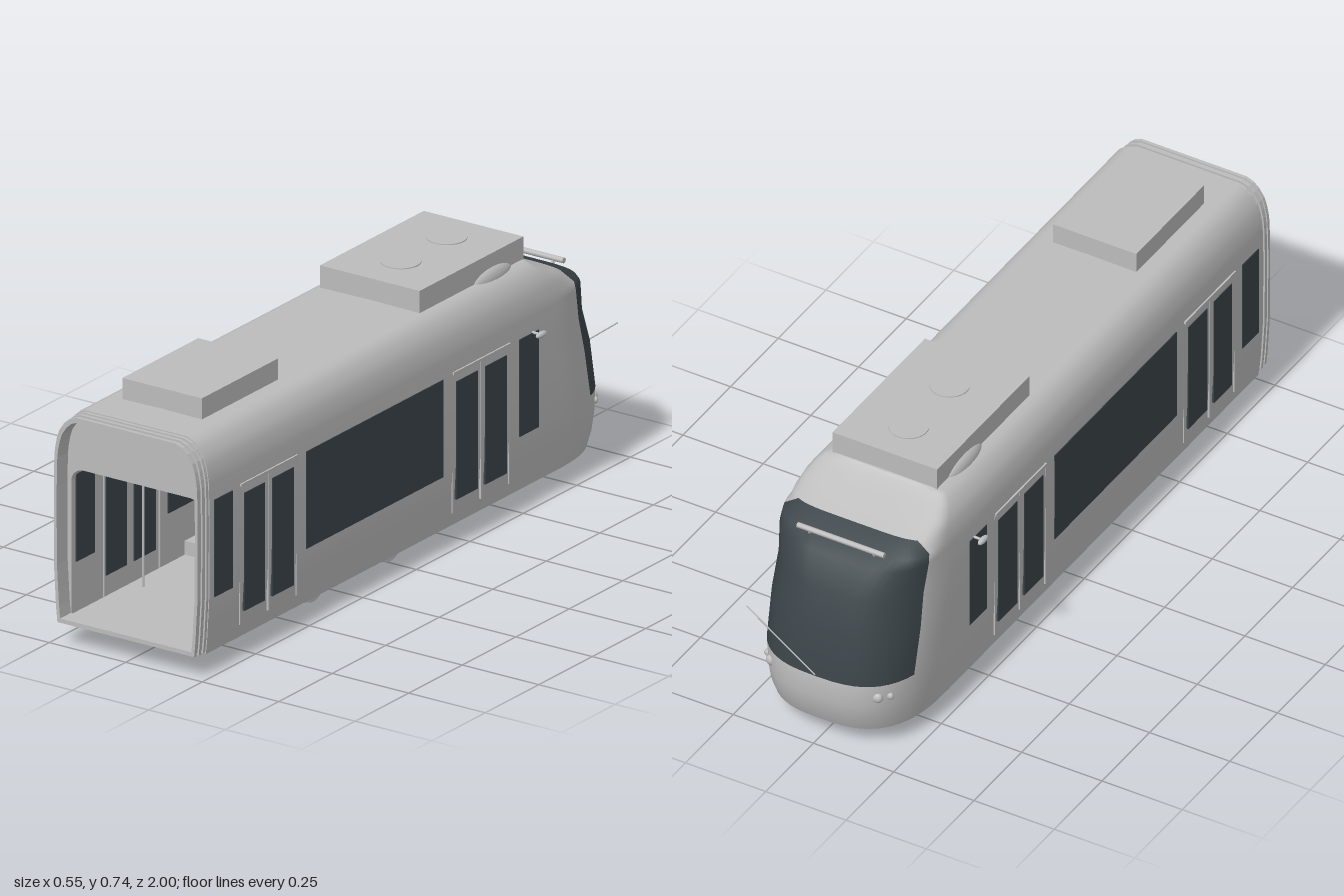
import * as THREE from 'three';

const paint = new THREE.MeshStandardMaterial({ color: 0xbcbcbc });
paint.name = 'body grey';
const glass = new THREE.MeshStandardMaterial({ color: 0x3b4449 });
glass.name = 'dark glass';
const screenMat = new THREE.MeshStandardMaterial({ color: 0x3a3f4d });
screenMat.name = 'screen slate';

// Hull levels: height, half width, nose tip z
const LEVELS = [
  [.06, .228, -.963], [.1, .232, -.98], [.15, .235, -.99], [.22, .239, -.99], [.36, .24, -.963],
  [.46, .24, -.927], [.55, .238, -.885], [.575, .235, -.85], [.6, .23, -.78], [.625, .222, -.725],
  [.65, .205, -.67], [.665, .188, -.64], [.674, .165, -.63], [.676, 0, -.63],
];
const GLASS_LOW = 3, GLASS_HIGH = 8, SIDE = 7, MID = 20, FRONT = .95;

// Plan outline of the hull at one level, from the left side round the nose to the right
function planOutline([y, w, zf]) {
  const n = 2.8 + 2.2 * THREE.MathUtils.smoothstep(y, .5, .6);
  const zc = Math.min(-.6, zf + .29);
  const zGlass = -.85 + Math.max(0, y - .22) * .22;
  const s = THREE.MathUtils.clamp((zc - zGlass) / (zc - zf), 0, .92);
  const edge = Math.asin(Math.pow(s, n / 2));
  const angles = [];
  for (let i = 0; i <= SIDE; i++) angles.push(edge * i / SIDE);
  for (let i = 1; i < MID; i++) angles.push(edge + (Math.PI - 2 * edge) * i / MID);
  for (let i = SIDE; i >= 0; i--) angles.push(Math.PI - edge * i / SIDE);
  const pts = angles.map(a => {
    const c = Math.cos(a);
    return new THREE.Vector3(Math.sign(c) * w * Math.pow(Math.abs(c), 2 / n), y,
      zc - (zc - zf) * Math.pow(Math.max(0, Math.sin(a)), 2 / n));
  });
  return [new THREE.Vector3(w, y, FRONT), ...pts, new THREE.Vector3(-w, y, FRONT)];
}

function hullGeometry() {
  const rows = LEVELS.map(planOutline);
  const cols = rows[0].length;
  const body = [], pane = [];
  for (let i = 0; i < rows.length - 1; i++) {
    for (let j = 0; j < cols - 1; j++) {
      const isGlass = i >= GLASS_LOW && i < GLASS_HIGH && j >= SIDE + 1 && j < SIDE + 1 + MID;
      const a = i * cols + j, b = a + 1, c = a + cols, d = c + 1;
      (isGlass ? pane : body).push(a, b, d, a, d, c);
    }
  }
  const g = new THREE.BufferGeometry().setFromPoints(rows.flat());
  g.setIndex([...body, ...pane]);
  g.addGroup(0, body.length, 0);
  g.addGroup(body.length, pane.length, 1);
  g.computeVertexNormals();
  return g;
}

// Closed cross-section of the hull, scaled about its middle
function section(k) {
  const half = LEVELS.slice(0, -1).map(([y, w]) => [w * k, .368 + (y - .368) * k]);
  const all = [...half, ...half.map(([x, y]) => [-x, y]).reverse()];
  return all.map(([x, y]) => new THREE.Vector2(x, y));
}

function ring(outer, hole, depth) {
  const s = new THREE.Shape(outer);
  s.holes.push(hole);
  return new THREE.ExtrudeGeometry(s, { depth, bevelEnabled: false });
}

export function createModel() {
  const model = new THREE.Group();
  const add = (name, geo, x = 0, y = 0, z = 0, mat = paint) => {
    const m = new THREE.Mesh(geo, mat);
    m.name = name;
    m.position.set(x, y, z);
    model.add(m);
    return m;
  };
  // Box given by its limits
  const box = (name, x0, x1, y0, y1, z0, z1, mat = paint) =>
    add(name, new THREE.BoxGeometry(x1 - x0, y1 - y0, Math.abs(z1 - z0)),
      (x0 + x1) / 2, (y0 + y1) / 2, (z0 + z1) / 2, mat);
  const rod = (name, a, b, r, mat = paint) => {
    const p = new THREE.Vector3(...a), q = new THREE.Vector3(...b);
    const m = add(name, new THREE.CylinderGeometry(r, r, p.distanceTo(q), 10), 0, 0, 0, mat);
    m.position.copy(p).lerp(q, .5);
    m.quaternion.setFromUnitVectors(new THREE.Vector3(0, 1, 0), q.sub(p).normalize());
    return m;
  };

  // Shell with wrapped windscreen, and underside
  add('hull', hullGeometry(), 0, 0, 0, [paint, glass]);
  const under = new THREE.ShapeGeometry(new THREE.Shape(
    planOutline(LEVELS[0]).map(p => new THREE.Vector2(p.x, p.z))));
  add('underside', under.rotateX(Math.PI / 2), 0, .06, 0);

  // Cabin lining: walls, floor, ceiling and end bulkhead
  const cabin = new THREE.Path();
  cabin.moveTo(-.213, .075);
  cabin.lineTo(.213, .075);
  cabin.lineTo(.213, .457);
  cabin.absarc(.173, .457, .04, 0, Math.PI / 2, false);
  cabin.absarc(-.173, .457, .04, Math.PI / 2, Math.PI, false);
  cabin.closePath();
  add('cabinLining', ring(section(.996), cabin, 1.55), 0, 0, -.6);
  box('cabPartition', -.22, .22, .07, .5, -.61, -.598);

  // Gangway bellows at the open end
  [.985, .965, .985, .965, .98].forEach((k, i) =>
    add('bellowsFold', ring(section(k), new THREE.Path(section(.94)), .01), 0, 0, .95 + i * .01));

  // Side windows, doors and mirrors, on both sides
  const panes = [[.845, .93, .22, .5], [.695, .79, .135, .475], [.56, .66, .135, .475],
    [-.14, .5, .22, .5], [-.3, -.2, .135, .475], [-.435, -.335, .135, .475], [-.585, -.495, .22, .5]];
  for (const s of [1, -1]) {
    for (const [z0, z1, y0, y1] of panes) {
      for (const x of [.2385, .2125]) {
        add('sideWindow', new THREE.BoxGeometry(.006, y1 - y0, z1 - z0),
          s * x, (y0 + y1) / 2, (z0 + z1) / 2, glass);
      }
    }
    for (const z of [.675, -.318]) {
      add('doorRail', new THREE.BoxGeometry(.008, .008, .265), s * .24, .502, z);
      add('doorSeam', new THREE.BoxGeometry(.006, .4, .006), s * .238, .3, z);
      for (const e of [-.132, .132])
        add('doorEdge', new THREE.BoxGeometry(.004, .4, .004), s * .238, .3, z + e);
      for (const e of [-.13, .13])
        rod('doorHandrail', [s * .208, .08, z + e], [s * .208, .49, z + e], .003);
      rod('grabPole', [s * .17, .075, z], [s * .17, .485, z], .004);
    }
    rod('mirrorArm', [s * .235, .5, -.56], [s * .268, .5, -.56], .004);
    add('mirror', new THREE.SphereGeometry(.009, 16, 10), s * .267, .5, -.56).scale.z = 2.6;

    // Nose lamps
    for (const [x, z, r] of [[.165, -.942, .016], [.19, -.918, .011]])
      add('headlamp', new THREE.SphereGeometry(r, 16, 10), s * x, .18, z).scale.z = .8;

    // Seats on plinths
    box('seatPlinth', Math.min(s * .04, s * .213), Math.max(s * .04, s * .213), .075, .115, -.06, .42);
    for (const z of [.34, .02]) {
      for (const x of [.088, .172]) {
        add('seatBack', new THREE.BoxGeometry(.082, .145, .015), s * x, .263, z);
        add('seatCushion', new THREE.BoxGeometry(.082, .02, .09), s * x, .2, z - .05);
      }
      add('seatBase', new THREE.BoxGeometry(.04, .08, .05), s * .17, .15, z - .05);
    }

    // Wheels with flanges, brake discs
    for (const z of [.36, 0]) {
      const wheel = (r, w, x) => add('wheel',
        new THREE.CylinderGeometry(r, r, w, 32).rotateZ(Math.PI / 2), s * x, .061, z);
      wheel(.055, .026, .153);
      wheel(.06, .007, .143);
      wheel(.025, .05, .16);
      const dz = z ? .27 : .09;
      add('brakeDisc', new THREE.CylinderGeometry(.033, .033, .01, 24).rotateZ(Math.PI / 2), s * .096, .06, dz);
    }

    // Fairing beside the roof unit
    add('roofFairing', new THREE.SphereGeometry(1, 24, 14), s * .155, .665, -.48).scale.set(.026, .035, .095);
  }

  // Drive motors between the axles
  for (const z of [.25, .11])
    rod('motor', [-.06, .06, z], [.06, .06, z], .024);
  for (const z of [.36, 0])
    rod('axle', [-.14, .061, z], [.14, .061, z], .01);

  // Cabin fittings
  rod('centrePole', [0, .075, .5], [0, .497, .5], .004);
  box('signFrame', -.063, .063, .436, .482, -.6, -.59);
  box('signPanel', -.057, .057, .441, .477, -.592, -.586, glass);
  box('cabScreen', -.162, -.06, .335, .405, -.55, -.542, screenMat);
  rod('screenStem', [-.13, .31, -.55], [-.13, .34, -.55], .003);
  box('cabDesk', -.21, -.04, .19, .31, -.6, -.56);

  // Roof equipment
  box('frontRoofUnit', -.13, .13, .67, .735, .475, .83);
  box('rearRoofUnit', -.163, .163, .67, .738, -.625, -.14);
  for (const z of [-.285, -.5])
    add('fanCover', new THREE.CylinderGeometry(.055, .055, .003, 32), 0, .7395, z);

  // Lamp bar above the windscreen, and the wiper
  rod('lampBar', [-.135, .588, -.855], [.135, .588, -.855], .008);
  for (const x of [-.1, .1]) rod('lampBarFoot', [x, .56, -.845], [x, .588, -.855], .005);
  rod('wiper', [0, .225, -.992], [.21, .38, -.998], .002, paint);
  return model;
}
